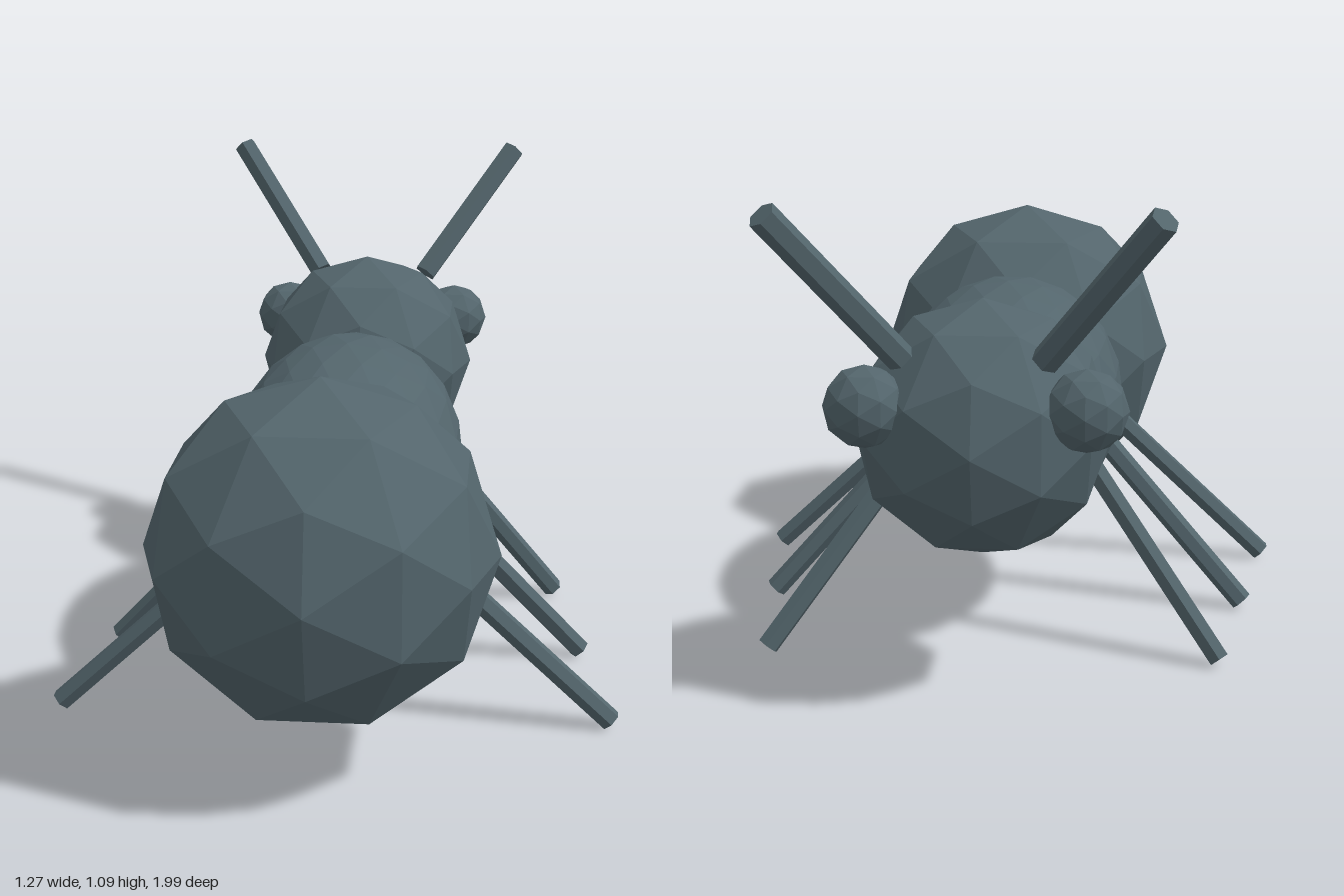
import * as THREE from 'three';

const slate = new THREE.MeshStandardMaterial({ color: 0x53656c, flatShading: true });
slate.name = 'slate grey';

export function createModel() {
  const model = new THREE.Group();
  model.name = 'ant';

  // Faceted ball, optionally stretched
  const ball = (name, radius, detail, position, scale = [1, 1, 1]) => {
    const mesh = new THREE.Mesh(new THREE.IcosahedronGeometry(radius, detail), slate);
    mesh.name = name;
    mesh.position.set(...position);
    mesh.scale.set(...scale);
    model.add(mesh);
  };

  // Six-sided rod between two points
  const up = new THREE.Vector3(0, 1, 0);
  const rod = (name, radius, from, to) => {
    const a = new THREE.Vector3(...from);
    const b = new THREE.Vector3(...to);
    const axis = b.clone().sub(a);
    const mesh = new THREE.Mesh(new THREE.CylinderGeometry(radius, radius, axis.length(), 6), slate);
    mesh.name = name;
    mesh.position.copy(a).add(b).multiplyScalar(0.5);
    mesh.quaternion.setFromUnitVectors(up, axis.normalize());
    model.add(mesh);
  };

  // Body
  ball('abdomen', 0.37, 1, [0, 0.5, 0.63]);
  ball('thorax', 0.277, 3, [0, 0.5, 0.02], [0.98, 1, 1.8]);
  ball('head', 0.27, 1, [0, 0.58, -0.58]);

  // Paired parts, mirrored across x
  for (const [side, s] of [['left', 1], ['right', -1]]) {
    ball(side + 'Eye', 0.085, 1, [s * 0.22, 0.657, -0.737]);
    rod(side + 'Antenna', 0.03, [s * 0.14, 0.765, -0.78], [s * 0.368, 1.07, -0.965]);
    rod(side + 'AbdomenLeg', 0.025, [s * 0.19, 0.42, 0.378], [s * 0.62, 0.02, 0.378]);
    rod(side + 'MiddleLeg', 0.025, [s * 0.2, 0.42, 0.067], [s * 0.56, 0.02, -0.012]);
    rod(side + 'HeadLeg', 0.025, [s * 0.2, 0.43, -0.247], [s * 0.5, 0.02, -0.402]);
  }

  return model;
}
